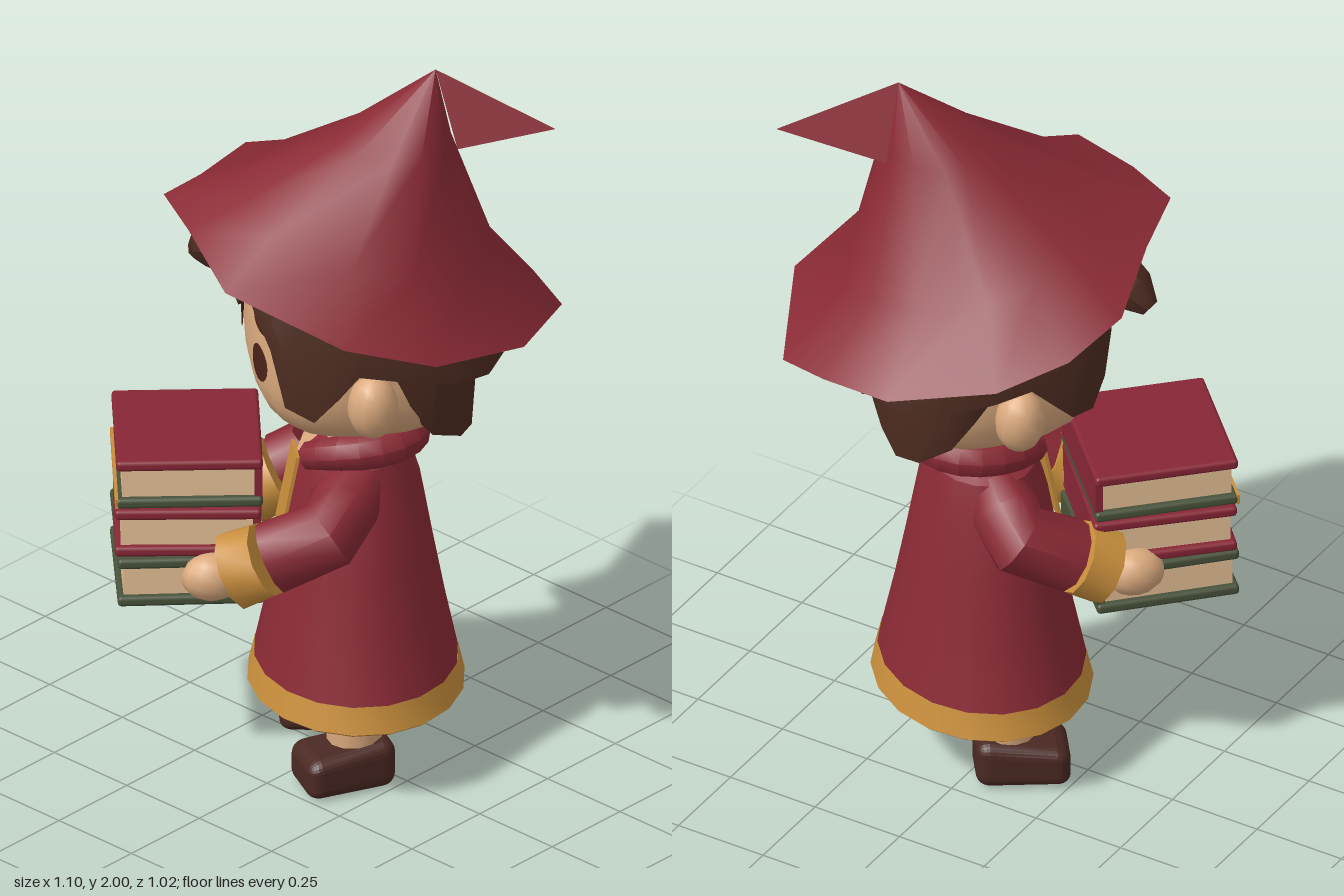
import * as THREE from 'three';
import { toCreasedNormals } from 'three/addons/utils/BufferGeometryUtils.js';
import { RoundedBoxGeometry } from 'three/addons/geometries/RoundedBoxGeometry.js';

const V = (x, y, z) => new THREE.Vector3(x, y, z);
const mat = (name, color) => {
  const m = new THREE.MeshStandardMaterial({ color, side: THREE.DoubleSide });
  m.name = name;
  return m;
};

// Skin a list of closed rings; each ring is an array of Vector3
function loft(rings, crease = 0.6) {
  const n = rings[0].length, pos = [], idx = [];
  rings.forEach(r => r.forEach(p => pos.push(p.x, p.y, p.z)));
  for (let i = 0; i < rings.length - 1; i++) for (let j = 0; j < n; j++) {
    const a = i * n + j, b = i * n + (j + 1) % n;
    idx.push(a, a + n, b, b, a + n, b + n);
  }
  const g = new THREE.BufferGeometry();
  g.setAttribute('position', new THREE.Float32BufferAttribute(pos, 3));
  g.setIndex(idx);
  return toCreasedNormals(g, crease);
}

// Round limb through [point, radius] stations, with closed ends and no twist
function limb(stations, sides = 10) {
  const pts = stations.map(s => s[0]), q = new THREE.Quaternion();
  let last = V(0, 1, 0);
  const rings = stations.map(([p, r], i) => {
    const t = pts[Math.min(i + 1, pts.length - 1)].clone().sub(pts[Math.max(i - 1, 0)]).normalize();
    q.premultiply(new THREE.Quaternion().setFromUnitVectors(last, t));
    last = t;
    return Array.from({ length: sides }, (_, j) => {
      const a = j / sides * Math.PI * 2;
      return V(r * Math.cos(a), 0, r * Math.sin(a)).applyQuaternion(q).add(p);
    });
  });
  const cap = p => Array.from({ length: sides }, () => p.clone());
  return loft([cap(pts[0]), ...rings, cap(pts[pts.length - 1])], 0.8);
}

// Head: a superellipsoid
const HEAD = { a: 0.31, b: 0.26, c: 0.28, y: 1.26, p: 2.9 };
const pw = (v, s) => Math.pow(Math.abs(v / s), HEAD.p);
const headZ = (x, y) => HEAD.c * Math.pow(Math.max(0, 1 - pw(x, HEAD.a) - pw(y - HEAD.y, HEAD.b)), 1 / HEAD.p);
function hairPoint(deg, y, k, back) {
  const a = deg * Math.PI / 180, s = Math.sin(a), c = Math.cos(a);
  const r = k / Math.pow(pw(s, HEAD.a) + pw(c, HEAD.c), 1 / HEAD.p);
  return V(r * s, y, r * c * (c < 0 ? back : 1));
}

export function createModel() {
  const root = new THREE.Group();
  const M = {
    red: mat('robe red', 0x8a2a35), hair: mat('hair brown', 0x4c2b20), skin: mat('skin', 0xdcab7f),
    gold: mat('gold trim', 0xc98f3c), shoe: mat('shoe brown', 0x4a2822), eye: mat('eye brown', 0x4a2218),
    page: mat('pages', 0xe6c196), green: mat('book green', 0x48523a), cover: mat('book red', 0x872635),
  };
  const add = (parent, name, geo, m, x = 0, y = 0, z = 0) => {
    const mesh = new THREE.Mesh(geo, m);
    mesh.name = name;
    mesh.position.set(x, y, z);
    parent.add(mesh);
    return mesh;
  };

  // The figure faces diagonally
  const body = new THREE.Group();
  body.name = 'figure';
  body.position.set(0.045, 0, -0.03);
  body.rotation.y = -40 * Math.PI / 180;
  root.add(body);

  // Robe with gold hem, wider than deep
  const lathe = pts => toCreasedNormals(
    new THREE.LatheGeometry(pts.map(p => new THREE.Vector2(...p)), 18).scale(1.08, 1, 0.9), 0.7);
  add(body, 'robe', lathe([[0.287, 0.29], [0.25, 0.45], [0.215, 0.62], [0.18, 0.8], [0.15, 0.89], [0.06, 0.94]]), M.red);
  add(body, 'hem', lathe([[0, 0.26], [0.2, 0.25], [0.295, 0.213], [0.306, 0.222], [0.288, 0.292]]), M.gold);

  // Collar open at the front, over skin and a gold placket
  const collar = Array.from({ length: 17 }, (_, i) => {
    const u = i / 8 - 1, a = Math.PI + u * (Math.PI - 0.42), front = Math.pow(Math.abs(u), 4);
    return [V(0.02 + 0.125 * Math.sin(a), 0.945 - 0.05 * front, -0.015 + 0.125 * Math.cos(a) + 0.03 * front),
      0.052 - 0.015 * front];
  });
  add(body, 'collar', limb(collar, 8), M.red);
  add(body, 'neck', new THREE.CylinderGeometry(0.075, 0.08, 0.16, 12), M.skin, 0.02, 0.97, 0);
  const opening = new THREE.BufferGeometry().setFromPoints([V(-0.06, 0.965, 0.1), V(0.01, 0.87, 0.156), V(0.08, 0.965, 0.1)]);
  opening.computeVertexNormals();
  add(body, 'neckOpening', opening, M.skin);
  add(body, 'placket', new THREE.BoxGeometry(0.1, 0.22, 0.009), M.gold, 0.01, 0.775, 0.175).rotation.x = -0.19;

  // Arms
  const arms = [
    ['left', V(0.1, 0.85, 0), V(0.243, 0.76, 0.1), V(0.218, 0.69, 0.24), V(0.185, 0.64, 0.33), V(0.165, 0.615, 0.385)],
    ['right', V(-0.1, 0.85, 0), V(-0.228, 0.765, 0.02), V(-0.235, 0.69, 0.16), V(-0.242, 0.645, 0.25), V(-0.258, 0.62, 0.32)],
  ];
  for (const [side, shoulder, elbow, cuff, wrist, hand] of arms) {
    const mid = shoulder.clone().lerp(elbow, 0.5);
    add(body, side + 'Sleeve', limb([[shoulder, 0.07], [mid, 0.092], [elbow, 0.094], [cuff, 0.096]]), M.red);
    add(body, side + 'Cuff', limb([[cuff.clone().lerp(wrist, 0.15), 0.098], [wrist, 0.103]]), M.gold);
    const h = add(body, side + 'Hand', new THREE.SphereGeometry(0.063, 12, 9), M.skin, hand.x, hand.y, hand.z);
    h.scale.set(0.9, 1, 1.25);
  }

  // Legs and turned-out shoes with lowered toes
  for (const s of [-1, 1]) {
    add(body, 'leg', new THREE.CylinderGeometry(0.078, 0.07, 0.2, 12), M.skin, s * 0.14, 0.18, 0.02);
    const g = new RoundedBoxGeometry(0.16, 0.13, 0.24, 3, 0.035);
    const p = g.attributes.position;
    for (let i = 0; i < p.count; i++) {
      const t = p.getZ(i) / 0.12, up = p.getY(i) / 0.13 + 0.5;
      p.setY(i, p.getY(i) - 0.028 * up * Math.max(0, t));
      p.setX(i, p.getX(i) * (1 + 0.1 * t));
    }
    g.computeVertexNormals();
    add(body, 'shoe', g, M.shoe, s * 0.163, 0.065, 0.05).rotation.y = s * 0.22;
  }

  // Head
  const head = new THREE.Group();
  head.name = 'head';
  head.position.x = 0.025;
  body.add(head);
  const skull = new THREE.SphereGeometry(1, 28, 20), sp = skull.attributes.position;
  for (let i = 0; i < sp.count; i++) {
    const v = V(0, 0, 0).fromBufferAttribute(sp, i);
    const k = Math.pow(pw(v.x, 1) + pw(v.y, 1) + pw(v.z, 1), -1 / HEAD.p);
    sp.setXYZ(i, v.x * k * HEAD.a, v.y * k * HEAD.b, v.z * k * HEAD.c);
  }
  skull.computeVertexNormals();
  add(head, 'face', skull, M.skin, 0, HEAD.y, 0);

  // Plates that follow the face
  const facePlate = (name, x, y, rx, ry, tilt) => {
    const g = new THREE.RingGeometry(0.001, 1, 18, 3);
    g.scale(rx, ry, 1).rotateZ(tilt).translate(x, y, 0);
    const p = g.attributes.position;
    for (let i = 0; i < p.count; i++) p.setZ(i, headZ(p.getX(i), p.getY(i)) + 0.006);
    g.computeVertexNormals();
    add(head, name, g, M.eye);
  };
  for (const s of [-1, 1]) {
    facePlate('eye', s * 0.148 + 0.015, 1.238, 0.043, 0.052, 0);
    facePlate('eyebrow', s * 0.148 + 0.015, 1.35, 0.054, 0.021, -s * 0.25);
    const ear = add(head, 'ear', new THREE.SphereGeometry(1, 12, 10), M.skin, s * 0.33, 1.185, 0);
    ear.scale.set(0.065, 0.09, 0.065);
    ear.rotation.z = -s * 0.15;
  }

  // Hair: shell with a jagged hem, given as [angle from the front, hem height]
  const shell = (name, hem, kMid, kHem, top, back) => add(head, name, loft([
    hem.map(([a]) => { const q = hairPoint(a, 0, kMid * 0.88, 1); return q.setY(top + 0.2 * q.z); }),
    hem.map(([a, y]) => hairPoint(a, y + 0.5 * (top - y), kMid, (1 + back) / 2)),
    hem.map(([a, y]) => hairPoint(a, y, kHem, back)),
    hem.map(([a, y]) => hairPoint(a, y + 0.01, kHem - 0.16, 1)),
  ], 0.5), M.hair);
  shell('hair', [
    [-180, 1.25], [-165, 1.24], [-150, 1.24], [-135, 1.23], [-120, 1.23], [-100, 1.26], [-86, 1.28], [-76, 1.22],
    [-68, 1.17], [-58, 1.17], [-50, 1.24], [-43, 1.35], [-25, 1.38], [0, 1.36], [17, 1.37], [27, 1.46], [37, 1.41],
    [47, 1.33], [54, 1.18], [66, 1.15], [76, 1.22], [84, 1.28], [100, 1.26], [120, 1.23], [135, 1.22], [150, 1.23],
    [165, 1.24]], 1.12, 1.13, 1.48, 1.16);
  // Lower back lobes, drawn up to nothing at the front
  shell('backHair', [
    [-180, 1.11], [-165, 1.06], [-150, 1.02], [-135, 1.04], [-120, 1.1], [-110, 1.18], [-100, 1.26], [-60, 1.42],
    [0, 1.44], [60, 1.42], [100, 1.26], [108, 1.16], [118, 1.07], [135, 1.03], [150, 1.02], [165, 1.06]],
  1.06, 1.0, 1.45, 1.02);
  add(head, 'frontTuft', limb([[V(-0.03, 1.46, 0.24), 0.07], [V(-0.12, 1.43, 0.31), 0.08],
    [V(-0.175, 1.4, 0.355), 0.06], [V(-0.21, 1.365, 0.385), 0.025]], 7), M.hair);

  // Hat: wavy brim, cone base, leaning crown and peak
  const brim = [
    [-0.43, 1.53, -0.13], [-0.36, 1.45, -0.27], [-0.23, 1.39, -0.41], [0.03, 1.33, -0.51], [0.25, 1.29, -0.46],
    [0.4, 1.265, -0.41], [0.55, 1.32, -0.11], [0.51, 1.36, 0.17], [0.37, 1.43, 0.36], [0.08, 1.54, 0.49],
    [-0.15, 1.59, 0.38], [-0.31, 1.6, 0.3], [-0.35, 1.57, 0.12]].map(p => V(...p));
  const inner = (f, y) => brim.map(p => {
    const x = 0.08 + (p.x - 0.08) * f, z = -0.02 + (p.z + 0.02) * f;
    return V(x, y + 0.22 * (z - x), z);
  });
  const crown = brim.map(p => {
    const a = Math.atan2(p.z, p.x - 0.07);
    return V(0.165 + 0.148 * Math.cos(a), 1.81, -0.045 + 0.138 * Math.sin(a));
  });
  const peak = V(0.24, 2, -0.115);
  add(root, 'hat', loft([brim, inner(0.67, 1.58), crown, brim.map(() => peak.clone())], 0.9), M.red);
  add(root, 'brimUnderside', loft([brim, inner(0.6, 1.45)], 0.9), M.red);
  const tail = [peak, V(0.33, 1.81, -0.1), V(0.23, 1.8, -0.19)];
  add(root, 'hatTip', loft([tail, tail.map(() => V(0.5, 1.86, -0.28))], 0.7), M.red);

  // Stack of books
  const stack = new THREE.Group();
  stack.name = 'books';
  stack.position.set(-0.285, 0, 0.24);
  stack.rotation.y = -Math.PI / 4;
  root.add(stack);
  const books = [[0.505, 0.64, M.green, M.green, 0.02], [0.645, 0.778, M.cover, M.cover, -0.02], [0.785, 0.92, M.green, M.cover, 0]];
  for (const [y0, y1, lower, upper, turn] of books) {
    const book = new THREE.Group();
    book.name = 'book';
    book.rotation.y = turn;
    stack.add(book);
    const h = y1 - y0, t = 0.028;
    add(book, 'lowerCover', new RoundedBoxGeometry(0.385, t, 0.37, 2, 0.01), lower, 0, y0 + t / 2, 0);
    add(book, 'upperCover', new RoundedBoxGeometry(0.385, t, 0.37, 2, 0.01), upper, 0, y1 - t / 2, 0);
    add(book, 'pages', new THREE.BoxGeometry(0.35, h - t, 0.34), M.page, 0, (y0 + y1) / 2, 0);
    add(book, 'spine', new THREE.BoxGeometry(0.365, h - t, 0.02), upper, 0, (y0 + y1) / 2, -0.174);
  }
  add(stack, 'goldEdge', new THREE.BoxGeometry(0.38, 0.026, 0.008), M.gold, 0, 0.799, 0.184);
  return root;
}
